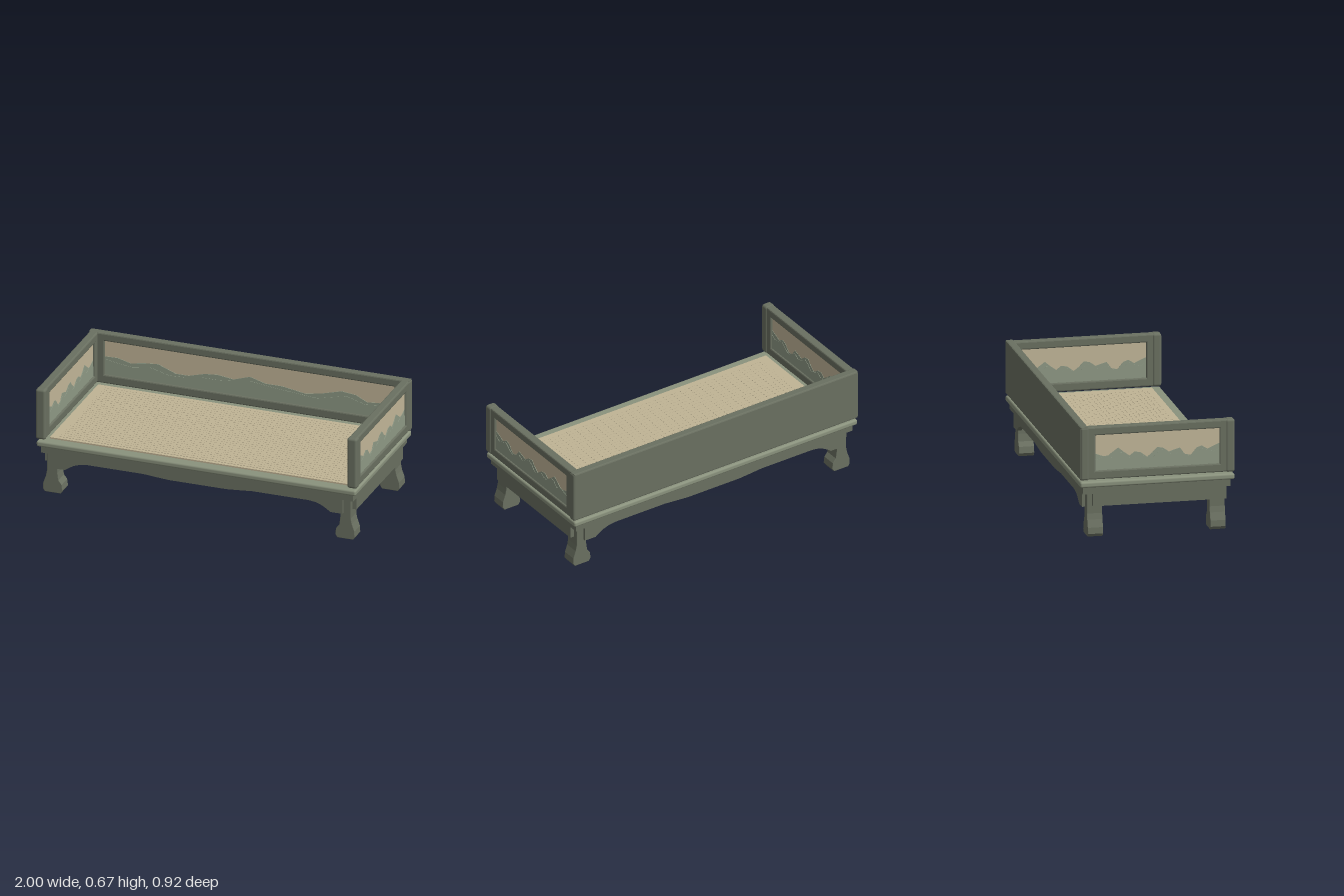
import * as THREE from 'three';
import { mergeGeometries } from 'three/addons/utils/BufferGeometryUtils.js';
import { RoundedBoxGeometry } from 'three/addons/geometries/RoundedBoxGeometry.js';

const material = (name, color) => {
  const m = new THREE.MeshStandardMaterial({ color });
  m.name = name;
  return m;
};

export function createModel() {
  const model = new THREE.Group();
  model.name = 'daybed';
  const wood = material('grey green wood', 0x6a7061);
  const edgeWood = material('light green edge', 0x8a927d);
  const tan = material('tan panel', 0xc3b799);
  const matTan = material('woven mat', 0xc0b495);
  const sage = material('sage hills', 0x8f9a86);

  const add = (name, geometry, mat, x = 0, y = 0, z = 0, parent = model) => {
    const mesh = new THREE.Mesh(geometry, mat);
    mesh.name = name;
    mesh.position.set(x, y, z);
    parent.add(mesh);
    return mesh;
  };
  const box = (w, h, d) => new THREE.BoxGeometry(w, h, d);
  const rounded = (w, h, d, r) => new RoundedBoxGeometry(w, h, d, 3, r);
  const toShape = (pts) => new THREE.Shape(pts.map(([x, y]) => new THREE.Vector2(x, y)));

  // Outline extruded along z and centred on z = 0
  const slab = (shape, depth, bevel = 0) => {
    const g = new THREE.ExtrudeGeometry(shape, {
      depth: depth - 2 * bevel, bevelEnabled: bevel > 0, bevelSize: bevel,
      bevelThickness: bevel, bevelOffset: -bevel, bevelSegments: 2, curveSegments: 8,
    });
    g.translate(0, 0, -(depth - 2 * bevel) / 2);
    return g;
  };
  const rect = (x0, x1, y0, y1) => [[x0, y0], [x1, y0], [x1, y1], [x0, y1]];
  const frame = (outer, hole, depth) => {
    const shape = toShape(outer);
    shape.holes.push(toShape(hole.slice().reverse()));
    return slab(shape, depth, 0.008);
  };
  // Hills: a ridge line closed off at the bottom of the panel
  const hills = (ridge, bottom, depth) => {
    const first = ridge[0][0], last = ridge[ridge.length - 1][0];
    return slab(toShape([[first, bottom], [last, bottom], ...ridge.slice().reverse()]), depth);
  };

  // Seat base: waist, moulded edge and woven mat
  add('waistRail', box(1.94, 0.045, 0.88), wood, 0, 0.281, 0);
  add('seatEdge', rounded(1.985, 0.036, 0.92, 0.012), edgeWood, 0, 0.319, 0);
  add('seatMat', box(1.86, 0.012, 0.79), matTan, 0, 0.34, 0.005);
  const strands = [];
  for (let i = 0; i < 28; i++) {
    strands.push(box(1.76, 0.003, 0.018).translate(0, 0.3465, -0.365 + i * 0.0271));
  }
  for (let i = 0; i < 60; i++) {
    strands.push(box(0.02, 0.0022, 0.74).translate(-0.87 + i * 0.0295, 0.3465, 0.001));
  }
  add('matWeave', mergeGeometries(strands), matTan);

  // Legs with flared feet
  const legProfile = [
    [0.88, 0.27], [0.878, 0.13], [0.872, 0.085], [0.852, 0.058], [0.847, 0.02], [0.86, 0],
    [0.958, 0], [0.97, 0.018], [0.968, 0.055], [0.952, 0.1], [0.945, 0.135], [0.945, 0.27],
  ];
  for (const sx of [1, -1]) {
    const pts = legProfile.map(([x, y]) => [sx * x, y]);
    for (const sz of [1, -1]) add('leg', slab(toShape(pts), 0.092, 0.003), wood, 0, 0, sz * 0.365);
    add('sideApron', box(0.04, 0.08, 0.76), wood, sx * 0.949, 0.223, 0);
  }

  // Scalloped long aprons
  const scallop = [
    [0.9, 0.165], [0.825, 0.165], [0.8, 0.183], [0.77, 0.2], [0.73, 0.214], [0.69, 0.219],
    [0.34, 0.219], [0.27, 0.213], [0.18, 0.206],
  ];
  const lower = [...scallop.map(([x, y]) => [-x, y]), ...scallop.slice().reverse()];
  const apron = slab(toShape([...lower, [0.9, 0.265], [-0.9, 0.265]]), 0.03);
  for (const sz of [1, -1]) add('scallopedApron', apron, wood, 0, 0, sz * 0.415);

  // Backrest with its painted panel
  const back = new THREE.Group();
  back.name = 'backrest';
  back.position.z = -0.435;
  model.add(back);
  add('backFrame', frame(rect(-0.995, 0.995, 0.348, 0.667), rect(-0.9, 0.9, 0.403, 0.617), 0.05), wood, 0, 0, 0, back);
  add('backBoard', box(1.975, 0.301, 0.01), wood, 0, 0.5075, -0.02, back);
  add('backPanel', box(1.82, 0.23, 0.01), tan, 0, 0.51, 0.004, back);
  const backRidge = [
    [-0.9, 0.515], [-0.82, 0.517], [-0.74, 0.495], [-0.66, 0.51], [-0.57, 0.518], [-0.46, 0.475],
    [-0.38, 0.475], [-0.28, 0.503], [-0.2, 0.51], [-0.1, 0.497], [0, 0.53], [0.1, 0.502], [0.2, 0.502],
    [0.35, 0.478], [0.45, 0.497], [0.57, 0.53], [0.66, 0.52], [0.73, 0.485], [0.83, 0.495], [0.9, 0.505],
  ];
  const backNear = [
    [-0.9, 0.5], [-0.82, 0.484], [-0.73, 0.474], [-0.62, 0.49], [-0.5, 0.458], [-0.4, 0.462], [-0.3, 0.478],
    [-0.2, 0.478], [-0.1, 0.488], [0, 0.505], [0.15, 0.485], [0.3, 0.472], [0.42, 0.462], [0.6, 0.505],
    [0.72, 0.47], [0.82, 0.48], [0.9, 0.488],
  ];
  add('farHills', hills(backRidge, 0.4, 0.003), sage, 0, 0, 0.0105, back);
  add('nearHills', hills(backNear, 0.4, 0.003), sage, 0, 0, 0.0125, back);

  // Side rests, painted on both faces
  const sideRidge = [
    [-0.372, 0.525], [-0.33, 0.508], [-0.3, 0.493], [-0.265, 0.515], [-0.235, 0.505], [-0.2, 0.463],
    [-0.165, 0.47], [-0.135, 0.51], [-0.1, 0.5], [-0.07, 0.49], [-0.035, 0.515], [0, 0.522],
    [0.03, 0.49], [0.06, 0.467], [0.1, 0.497], [0.135, 0.502], [0.165, 0.48], [0.2, 0.505],
    [0.232, 0.532], [0.27, 0.505], [0.3, 0.482], [0.335, 0.49], [0.372, 0.505],
  ];
  const sideNear = [
    [-0.372, 0.495], [-0.335, 0.475], [-0.265, 0.5], [-0.235, 0.475], [-0.2, 0.45], [-0.135, 0.49],
    [-0.1, 0.47], [-0.065, 0.48], [-0.03, 0.505], [0, 0.49], [0.03, 0.457], [0.065, 0.468], [0.1, 0.485],
    [0.13, 0.467], [0.165, 0.467], [0.2, 0.503], [0.225, 0.503], [0.26, 0.47], [0.3, 0.488], [0.372, 0.465],
  ];
  for (const sx of [1, -1]) {
    const side = new THREE.Group();
    side.name = sx > 0 ? 'leftSideRest' : 'rightSideRest';
    side.position.x = sx * 0.968;
    side.rotation.y = Math.PI / 2;
    model.add(side);
    add('sideFrame', frame(rect(-0.44, 0.425, 0.35, 0.665), rect(-0.37, 0.37, 0.403, 0.615), 0.052), wood, 0, 0, 0, side);
    add('sidePanel', box(0.755, 0.23, 0.024), tan, 0, 0.51, 0, side);
    add('frontPost', rounded(0.055, 0.319, 0.062, 0.015), wood, -0.4325, 0.5075, 0, side);
    add('backPost', rounded(0.05, 0.317, 0.062, 0.012), wood, 0.434, 0.5075, 0, side);
    for (const face of [1, -1]) {
      add('farHills', hills(sideRidge, 0.4, 0.003), sage, 0, 0, face * 0.0125, side);
      add('nearHills', hills(sideNear, 0.4, 0.003), sage, 0, 0, face * 0.0145, side);
    }
  }
  return model;
}
